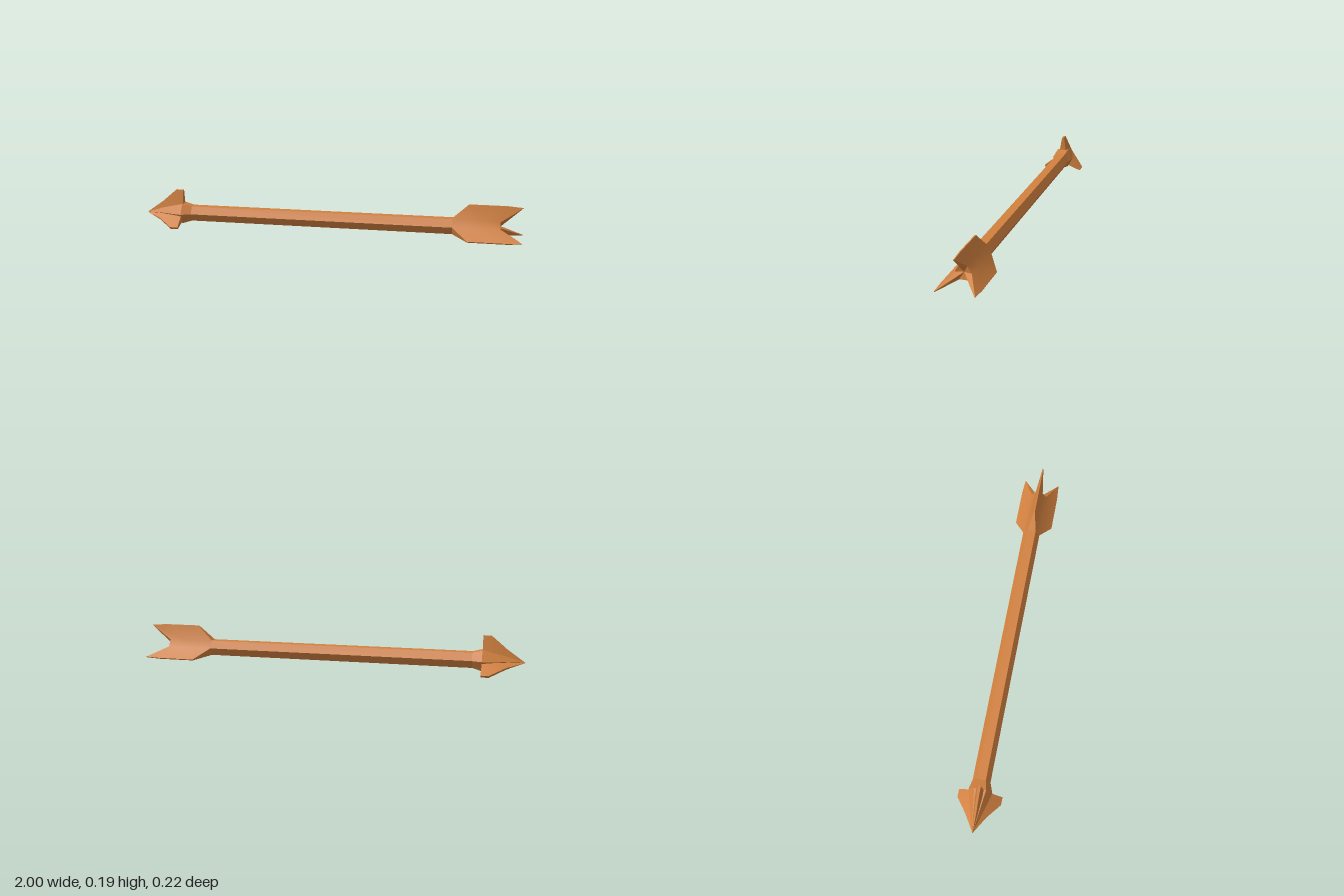
import * as THREE from 'three';
import { toCreasedNormals } from 'three/addons/utils/BufferGeometryUtils.js';

const CY = 0.077;
const K = Math.sqrt(3) / 2;

// Hexagon ring of corner radius R across the x axis. Every second face can rise into a fin
// with half width base at its root and half width tipHalf at radius tip.
function ring(x, R, { base = R / 2, tipHalf = base, tip = R * K, xTip = x, cy = CY, cz = -0.006 } = {}) {
  const half = [[R / 2, R * K, x], [base, R * K, x], [tipHalf, tip, xTip]];
  const sector = [
    ...half.map(([u, r, px]) => [-u, r, px]),
    ...half.map(([u, r, px]) => [u, r, px]).reverse(),
  ];
  const points = [];
  for (let k = 0; k < 3; k++) {
    const a = (k * 2 * Math.PI) / 3, c = Math.cos(a), s = Math.sin(a);
    for (const [u, r, px] of sector) {
      points.push(new THREE.Vector3(px, cy + r * c - u * s, cz + r * s + u * c));
    }
  }
  return points;
}

// Skin the rings in order of rising x; optional centre points close the ends.
function loft(rings, startCentre, endCentre) {
  const pos = [];
  const ab = new THREE.Vector3(), ac = new THREE.Vector3();
  const tri = (a, b, c) => {
    ab.subVectors(b, a);
    ac.subVectors(c, a);
    if (ab.cross(ac).length() > 1e-9) for (const p of [a, b, c]) pos.push(p.x, p.y, p.z);
  };
  const n = rings[0].length;
  for (let j = 0; j < n; j++) {
    const k = (j + 1) % n;
    for (let i = 0; i < rings.length - 1; i++) {
      const p = rings[i], q = rings[i + 1];
      tri(p[j], p[k], q[k]);
      tri(p[j], q[k], q[j]);
    }
    const first = rings[0], last = rings[rings.length - 1];
    if (startCentre) tri(startCentre, first[k], first[j]);
    if (endCentre) tri(endCentre, last[j], last[k]);
  }
  const geometry = new THREE.BufferGeometry();
  geometry.setAttribute('position', new THREE.Float32BufferAttribute(pos, 3));
  return geometry;
}

export function createModel() {
  const group = new THREE.Group();
  const material = new THREE.MeshStandardMaterial({ color: 0xd2813f });
  const add = (name, geometry, crease) => {
    const mesh = new THREE.Mesh(toCreasedNormals(geometry, crease), material);
    mesh.name = name;
    group.add(mesh);
  };

  // Hexagonal shaft
  add('shaft', loft([ring(-0.74, 0.045), ring(0.66, 0.045)]), 0.3);

  // Pointed head with three barbs, flaring into a collar
  const c = { cy: 0.076, cz: -0.002 };
  const barb = { ...c, base: 0.018, tipHalf: 0.006, tip: 0.125 };
  add('arrowhead', loft([
    ring(-0.91, 0.028, { ...c, base: 0.011, tipHalf: 0.005, tip: 0.058 }),
    ring(-0.83, 0.05, barb),
    ring(-0.79, 0.06, barb),
    ring(-0.79, 0.06, { ...c, base: 0.018, tipHalf: 0.006 }),
    ring(-0.74, 0.045),
  ], new THREE.Vector3(-1, 0.071, 0)), 0.3);

  // Three swept vanes with a notched, bevelled tail
  add('fletching', loft([
    ring(0.65, 0.045),
    ring(0.73, 0.046, { tipHalf: 0.003, tip: 0.114 }),
    ring(0.8, 0.046, { tipHalf: 0.003, tip: 0.114, xTip: 0.92 }),
    ring(0.89, 0.04, { tipHalf: 0.002, tip: 0.108, xTip: 1.0 }),
  ], null, new THREE.Vector3(0.88, CY, -0.006)), 0.6);

  return group;
}
